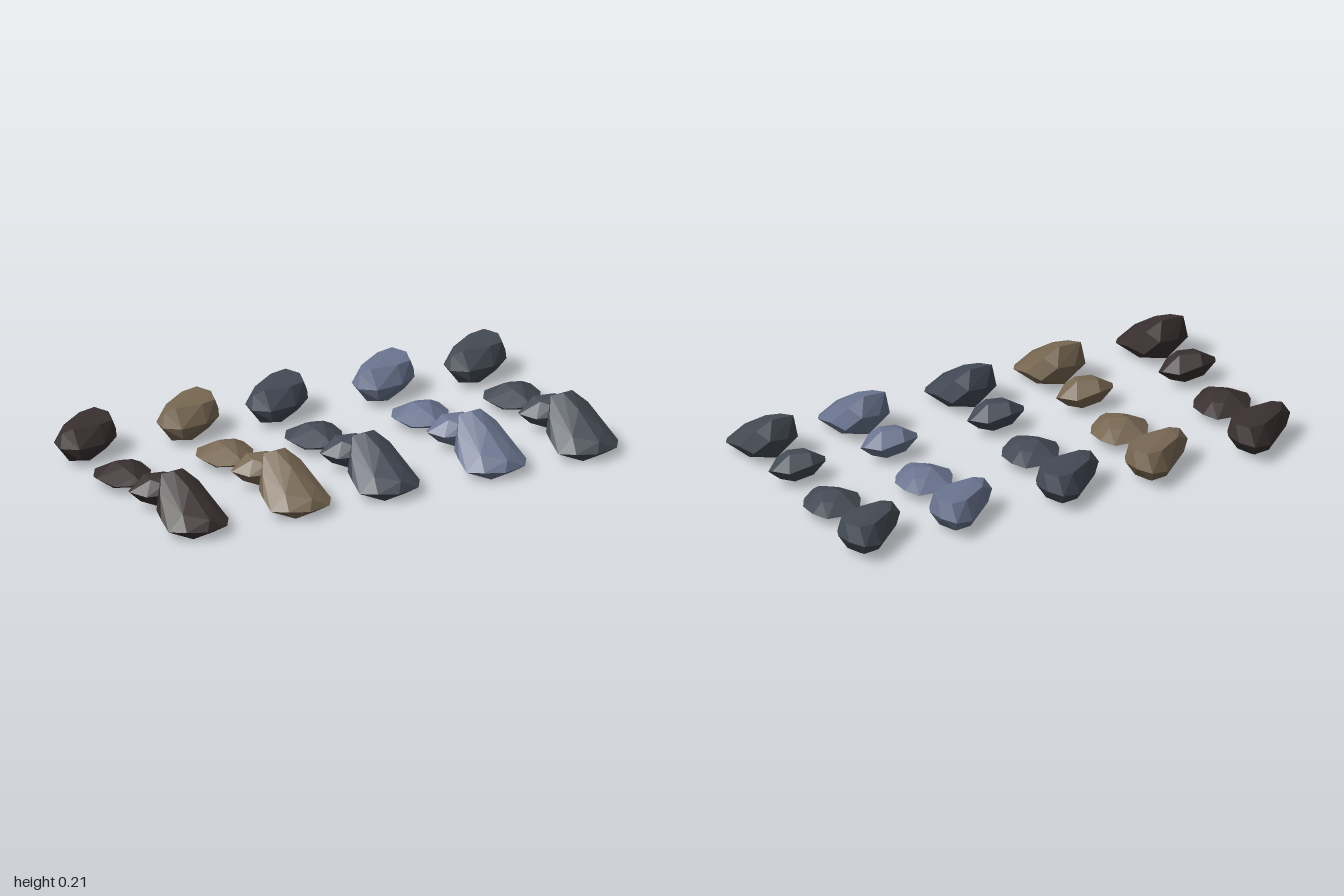
import * as THREE from 'three';
import { ConvexGeometry } from 'three/addons/geometries/ConvexGeometry.js';

// Corner points of each rock shape: x from the column centre, y, z
const SHAPES = {
  wedgeRock: [
    // peak and its shoulders
    [-.065, .205, .315], [-.02, .215, .335], [.03, .21, .312], [.085, .16, .34], [-.1, .15, .37], [.05, .13, .29], [-.03, .12, .296],
    // sloping front
    [0, .172, .42], [.02, .08, .55], [-.07, .10, .5], [.07, .105, .48],
    // rim
    [.13, .08, .4], [.13, .05, .5], [.1, .04, .545], [0, .04, .573], [-.08, .045, .55], [-.132, .04, .5], [-.132, .07, .44], [-.11, .08, .36], [.1, .07, .33],
    // underside
    [-.04, .005, .53], [.06, .01, .51], [.02, .004, .43], [-.08, .02, .42], [.08, .02, .4], [0, .03, .33],
  ],
  pebble: [
    // crown
    [-.04, .135, .13], [.04, .138, .15], [.03, .137, .19], [-.04, .13, .185], [.07, .11, .2], [-.08, .11, .15], [0, .115, .222],
    // rim
    [-.12, .085, .16], [-.11, .08, .135], [-.03, .1, .092], [.07, .085, .095], [.122, .09, .14], [.122, .075, .17], [.045, .075, .228], [-.01, .08, .242], [-.075, .075, .218],
    // underside
    [-.06, .03, .14], [.03, .03, .125], [.07, .03, .17], [0, .014, .17], [-.02, .025, .205], [.02, .045, .234],
  ],
  flatRock: [
    // crown
    [-.03, .095, -.13], [.03, .092, -.09], [-.02, .088, -.07], [.06, .08, -.15], [-.07, .072, -.1], [.0, .066, -.01], [.02, .075, -.175],
    // rim
    [-.122, .05, -.1], [-.115, .045, -.14], [-.065, .04, -.22], [-.03, .035, -.226], [.075, .04, -.222], [.113, .05, -.175], [.113, .045, -.095], [.08, .045, -.04], [.01, .043, .018], [-.04, .04, .005], [-.09, .04, -.015],
    // underside
    [-.05, .012, -.17], [.05, .01, -.17], [.06, .008, -.09], [-.06, .008, -.08], [0, .015, -.03],
  ],
  slabRock: [
    // flat top
    [-.125, .14, -.375], [-.08, .153, -.37], [.04, .15, -.37], [.11, .145, -.4], [.13, .152, -.47], [.1, .155, -.53], [.03, .15, -.52], [-.08, .145, -.445],
    // rim
    [-.147, .1, -.4], [-.145, .09, -.35], [-.08, .085, -.315], [.04, .08, -.338], [.12, .08, -.385], [.146, .09, -.44], [.135, .09, -.51], [.1, .09, -.573], [.02, .07, -.55], [-.1, .08, -.455],
    // underside
    [-.07, .04, -.325], [-.09, .02, -.38], [0, .005, -.38], [.06, .002, -.46], [-.01, .01, -.48], [.08, .035, -.53], [.1, .02, -.43],
  ],
};

// One column of rocks per colour
const COLUMNS = [
  ['darkBrown', 0x3a3031, -.853],
  ['sandBrown', 0x786853, -.405],
  ['slateGrey', 0x444a56, -.016],
  ['blueGrey', 0x6b7590, .45],
  ['coolGrey', 0x444b54, .852],
];

export function createModel() {
  const model = new THREE.Group();
  model.name = 'rocks';

  const geometries = Object.entries(SHAPES).map(([name, points]) =>
    [name, new ConvexGeometry(points.map((p) => new THREE.Vector3(...p)))]);

  for (const [colorName, color, x] of COLUMNS) {
    const material = new THREE.MeshStandardMaterial({ color, flatShading: true });
    material.name = colorName;
    const column = new THREE.Group();
    column.name = colorName + 'Rocks';
    column.position.x = x;
    for (const [name, geometry] of geometries) {
      const rock = new THREE.Mesh(geometry, material);
      rock.name = name;
      column.add(rock);
    }
    model.add(column);
  }
  return model;
}
